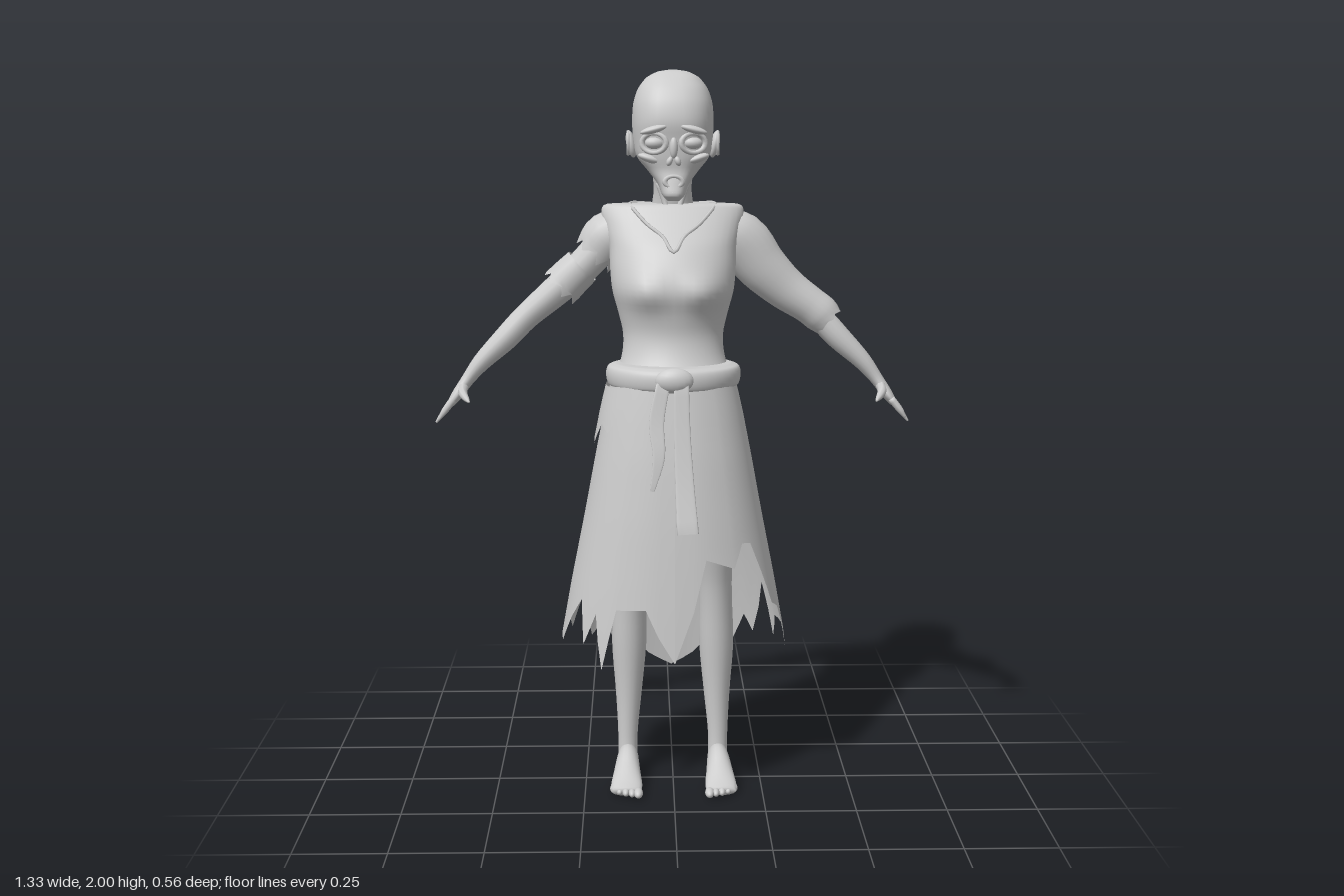
import * as THREE from 'three';

const gray = new THREE.MeshStandardMaterial({ color: 0xcccccc, side: THREE.DoubleSide });
gray.name = 'pale gray';
const Y = new THREE.Vector3(0, 1, 0), Z = new THREE.Vector3(0, 0, 1);
const pow = (v, p) => Math.sign(v) * Math.abs(v) ** p;

function mesh(parent, name, geometry) {
  const m = new THREE.Mesh(geometry, gray);
  m.name = name;
  parent.add(m);
  return m;
}

function build(pos, idx) {
  const g = new THREE.BufferGeometry();
  g.setAttribute('position', new THREE.Float32BufferAttribute(pos, 3));
  g.setIndex(idx);
  g.computeVertexNormals();
  return g;
}

// Smooth loft through sections [x, y, z, halfA, halfB]; jag tears the last ring, bump moves points
function loft(secs, { sides = 20, steps = 4, ref = Z, flat = false, p = 1, open = false, jag = 0, bump } = {}) {
  const path = new THREE.CatmullRomCurve3(secs.map(s => new THREE.Vector3(s[0], s[1], s[2])));
  const size = new THREE.CatmullRomCurve3(secs.map((s, i) => new THREE.Vector3(s[3], s[4], i)));
  const n = (secs.length - 1) * steps, pos = [], idx = [];
  for (let i = 0; i <= n; i++) {
    const c = path.getPoint(i / n), r = size.getPoint(i / n);
    const t = flat ? Y : path.getTangent(i / n);
    const a = t.clone().cross(ref).normalize(), b = a.clone().cross(t);
    for (let j = 0; j < sides; j++) {
      const f = (j / sides) * Math.PI * 2;
      const q = c.clone().addScaledVector(a, r.x * pow(Math.cos(f), p)).addScaledVector(b, r.y * pow(Math.sin(f), p));
      if (i === n && jag) q.addScaledVector(t, jag * (Math.sin(j * 2.3) + 0.5 * Math.sin(j * 4.1)));
      if (bump) bump(q);
      pos.push(q.x, q.y, q.z);
      if (i < n) {
        const k = (j + 1) % sides, o = i * sides, u = o + sides;
        idx.push(o + j, u + j, u + k, o + j, u + k, o + k);
      }
    }
  }
  if (!open) {
    const first = secs[0], last = secs[secs.length - 1], c = pos.length / 3, o = n * sides;
    pos.push(first[0], first[1], first[2], last[0], last[1], last[2]);
    for (let j = 0; j < sides; j++) {
      const k = (j + 1) % sides;
      idx.push(c, j, k, c + 1, o + k, o + j);
    }
  }
  return build(pos, idx);
}

// Upright body from rows [y, halfWidth, frontZ, backZ]
const body = (rows, opts) => loft(rows.map(([y, w, f, b]) => [0, y, (f + b) / 2, w, (f - b) / 2]),
  { flat: true, sides: 40, ...opts });

function ball(parent, name, [x, y, z], [rx, ry, rz], tilt = 0) {
  const m = mesh(parent, name, new THREE.SphereGeometry(1, 18, 12));
  m.position.set(x, y, z);
  m.scale.set(rx, ry, rz);
  m.rotation.z = tilt;
}

// Skirt surface: rows [y, halfWidth, frontZ, backZ]
const FLARE = [[1.19, .165, .185, -.09], [1.1, .187, .2, -.11], [.97, .213, .22, -.14], [.8, .245, .24, -.18],
  [.6, .285, .258, -.222], [.44, .314, .27, -.25], [.2, .335, .28, -.285]];
function skirtPoint(deg, y, out = 0) {
  let i = 0;
  while (i < FLARE.length - 2 && y < FLARE[i + 1][0]) i++;
  const k = (FLARE[i][0] - y) / (FLARE[i][0] - FLARE[i + 1][0]);
  const [w, f, b] = [1, 2, 3].map(c => FLARE[i][c] + k * (FLARE[i + 1][c] - FLARE[i][c]));
  const a = deg * Math.PI / 180;
  return [(w + out) * pow(Math.sin(a), .88), y, (f + b) / 2 + ((f - b) / 2 + out) * pow(Math.cos(a), .88)];
}

// Cloth hung on the skirt surface, from pairs of angle and torn hem height
function cloth(hem, top, rows, out = 0) {
  const cols = [];
  hem.forEach(([a, y], i) => {
    cols.push([a, y]);
    if (i < hem.length - 1) cols.push([(a + hem[i + 1][0]) / 2, (y + hem[i + 1][1]) / 2]);
  });
  const pos = [], idx = [], n = cols.length;
  for (let r = 0; r <= rows; r++) cols.forEach(([a, y], j) => {
    pos.push(...skirtPoint(a, top + (y - top) * r / rows, out));
    if (r < rows && j < n - 1) {
      const o = r * n + j;
      idx.push(o, o + n, o + n + 1, o, o + n + 1, o + 1);
    }
  });
  return build(pos, idx);
}

function addHead(root) {
  const head = new THREE.Group();
  head.name = 'head';
  root.add(head);
  mesh(head, 'skull', body([[1.655, .016, .085, .045], [1.67, .03, .1, .01], [1.7, .043, .094, -.04],
    [1.735, .07, .086, -.1], [1.77, .098, .09, -.14], [1.81, .107, .093, -.166], [1.86, .11, .1, -.176],
    [1.91, .107, .09, -.17], [1.95, .094, .068, -.152], [1.98, .07, .038, -.12], [1.995, .04, .005, -.085],
    [2, .008, -.03, -.05]], { p: .78 }));
  mesh(head, 'neck', loft([[0, 1.56, -.08, .085, .06], [0, 1.62, -.078, .062, .054],
    [0, 1.68, -.065, .052, .052], [0, 1.74, -.055, .058, .062]], { flat: true }));
  for (const s of [1, -1]) {
    ball(head, 'brow', [s * .05, 1.843, .088], [.04, .01, .018], -s * .25);
    ball(head, 'eye', [s * .05, 1.807, .08], [.026, .016, .018]);
    const socket = mesh(head, 'eyeSocket', new THREE.TorusGeometry(.034, .008, 8, 20));
    socket.position.set(s * .052, 1.807, .084);
    socket.scale.set(1, .75, 1);
    socket.rotation.y = s * .35;
    ball(head, 'cheekbone', [s * .062, 1.766, .066], [.034, .011, .02], s * .3);
    ball(head, 'nostril', [s * .011, 1.76, .09], [.008, .013, .01], s * .4);
    ball(head, 'ear', [s * .113, 1.803, -.018], [.013, .037, .023], -s * .2);
    const rim = mesh(head, 'earRim', new THREE.TorusGeometry(.024, .005, 6, 16));
    rim.position.set(s * .121, 1.806, -.018);
    rim.rotation.y = Math.PI / 2;
    rim.scale.set(.85, 1.2, 1);
    mesh(head, 'neckTendon', loft([[s * .012, 1.6, -.01, .007, .007], [s * .02, 1.64, -.024, .008, .008],
      [s * .04, 1.7, -.026, .008, .008]], { sides: 8 }));
  }
  ball(head, 'noseBridge', [0, 1.795, .092], [.011, .028, .011]);
  const lips = mesh(head, 'openMouth', new THREE.TorusGeometry(.021, .007, 8, 20));
  lips.position.set(0, 1.706, .088);
  lips.scale.set(1.1, .7, 1);
  ball(head, 'chin', [0, 1.675, .085], [.02, .015, .015]);
}

function addArm(root, s) {
  const arm = new THREE.Group();
  arm.name = s > 0 ? 'leftArm' : 'rightArm';
  root.add(arm);
  const m = list => list.map(([x, ...rest]) => [s * x, ...rest]);
  mesh(arm, 'bareArm', loft(m([[.16, 1.56, -.09, .05, .05], [.26, 1.455, -.092, .046, .046],
    [.34, 1.385, -.094, .041, .042], [.41, 1.325, -.092, .036, .037], [.465, 1.268, -.085, .034, .035],
    [.535, 1.2, -.08, .025, .028], [.575, 1.15, -.08, .018, .026], [.602, 1.112, -.08, .016, .042],
    [.622, 1.085, -.08, .011, .043]]), { sides: 16 }));
  // Four fingers and a forward thumb
  [-.118, -.092, -.066, -.042].forEach((z, i) => mesh(arm, 'finger', loft(m([
    [.612, 1.1, z, .01, .011], [.637, 1.068, z * 1.1 + .009, .009, .01],
    [.663 - (i % 3 ? 0 : .012), 1.033 + (i % 3 ? 0 : .014), z * 1.2 + .016, .003, .003]]), { sides: 8 })));
  mesh(arm, 'thumb', loft(m([[.582, 1.14, -.075, .014, .016], [.585, 1.122, -.04, .013, .014],
    [.573, 1.11, -.01, .009, .009], [.562, 1.104, .02, .003, .003]]), { ref: Y, sides: 8 }));
  if (s > 0) {
    mesh(arm, 'longSleeve', loft(m([[.12, 1.565, -.085, .06, .06], [.185, 1.54, -.09, .078, .068],
      [.25, 1.465, -.09, .07, .06], [.315, 1.405, -.094, .06, .055], [.38, 1.36, -.095, .053, .055],
      [.415, 1.333, -.093, .053, .054], [.437, 1.312, -.09, .046, .048]]), { open: true, jag: .006 }));
  } else {
    mesh(arm, 'tornSleeve', loft(m([[.12, 1.565, -.085, .06, .06], [.175, 1.545, -.09, .074, .068],
      [.215, 1.5, -.09, .062, .06]]), { open: true, jag: .026 }));
    mesh(arm, 'sleeveScrap', loft(m([[.25, 1.468, -.092, .054, .052], [.28, 1.44, -.093, .056, .054],
      [.31, 1.41, -.094, .058, .056]]), { open: true, jag: .02 }));
  }
}

function addLeg(root, s) {
  const leg = new THREE.Group();
  leg.name = s > 0 ? 'leftLeg' : 'rightLeg';
  root.add(leg);
  mesh(leg, 'bareLeg', loft([[s * .085, 1.08, .03, .08, .09], [s * .1, .85, .01, .072, .08],
    [s * .118, .62, -.02, .05, .055], [s * .122, .52, -.035, .047, .052], [s * .125, .39, -.05, .049, .055],
    [s * .127, .24, -.05, .037, .042], [s * .13, .12, -.04, .028, .029], [s * .13, .04, -.035, .028, .03]],
  { flat: true }));
  mesh(leg, 'foot', loft([[s * .13, .028, -.066, .012, .015], [s * .13, .034, -.05, .028, .032],
    [s * .13, .05, -.01, .031, .048], [s * .132, .036, .05, .038, .034], [s * .133, .021, .105, .044, .02],
    [s * .133, .014, .14, .041, .013]], { ref: Y }));
  for (let i = 0; i < 5; i++) ball(leg, 'toe',
    [s * (.1 + i * .0175), .013, .147 - i * i * .0022], [i ? .01 : .013, i ? .011 : .013, i ? .02 : .024]);
}

// Soft bust, raised from the front of the blouse
function shapeBust(q) {
  if (q.z > 0) q.z += .022 * Math.exp(-(((Math.abs(q.x) - .08) / .05) ** 2) - ((q.y - 1.415) / .05) ** 2);
}

export function createModel() {
  const root = new THREE.Group();
  root.name = 'raggedFigure';
  addHead(root);
  for (const s of [1, -1]) {
    addArm(root, s);
    addLeg(root, s);
  }
  mesh(root, 'blouse', body([[1.17, .165, .17, -.09], [1.23, .142, .132, -.09], [1.29, .137, .115, -.1],
    [1.35, .15, .122, -.125], [1.41, .166, .135, -.145], [1.47, .172, .12, -.16], [1.53, .175, .085, -.165],
    [1.58, .188, .04, -.165], [1.62, .196, .005, -.155], [1.64, .18, -.012, -.143], [1.643, .1, -.03, -.125]],
  { bump: shapeBust }));
  const neckline = [[0, 1.52, .095], [.03, 1.56, .056], [.07, 1.59, .026], [.11, 1.632, -.02], [.115, 1.642, -.08],
    [.07, 1.638, -.14], [0, 1.632, -.15], [-.07, 1.638, -.14], [-.115, 1.642, -.08], [-.11, 1.632, -.02],
    [-.07, 1.59, .026], [-.03, 1.56, .056]].map(v => new THREE.Vector3(...v));
  mesh(root, 'neckline', new THREE.TubeGeometry(new THREE.CatmullRomCurve3(neckline, true), 72, .005, 6, true));

  // Skirt with a ragged hem, low at the back
  mesh(root, 'skirt', cloth([[0, .43], [16, .71], [34, .68], [43, .745], [51, .74], [59, .65], [66, .56], [75, .54],
    [89, .4], [97, .455], [109, .46], [114, .39], [120, .55], [134, .38], [140, .43], [149, .34], [159, .37],
    [171, .29], [180, .25], [190, .29], [198, .35], [206, .31], [216, .41], [225, .37], [236, .52], [245, .42],
    [258, .5], [270, .445], [281, .44], [291, .52], [301, .58], [309, .46], [316, .55], [324, .4], [330, .57],
    [347, .575], [360, .43]], 1.19, 14));
  mesh(root, 'hipFlap', cloth([[246, 1.04], [262, 1.02], [278, 1.0], [291, 1.06], [304, 1.04], [318, 1.1]],
    1.16, 4, .012));

  // Belt, knot and hanging straps
  mesh(root, 'belt', body([[1.152, .16, .175, -.085], [1.16, .178, .195, -.108], [1.187, .184, .2, -.114],
    [1.21, .178, .193, -.108], [1.218, .155, .17, -.085]]));
  ball(root, 'beltKnot', [0, 1.188, .19], [.052, .034, .026]);
  mesh(root, 'longStrap', loft([[.018, 1.18, .203, .02, .004], [.02, 1.05, .222, .022, .004],
    [.026, .92, .245, .025, .004], [.034, .79, .274, .029, .004]], { p: .4 }));
  mesh(root, 'shortStrap', loft([[-.03, 1.18, .2, .018, .004], [-.048, 1.08, .216, .02, .004],
    [-.042, .99, .232, .016, .004], [-.06, .9, .242, .006, .003]], { p: .4 }));
  return root;
}
